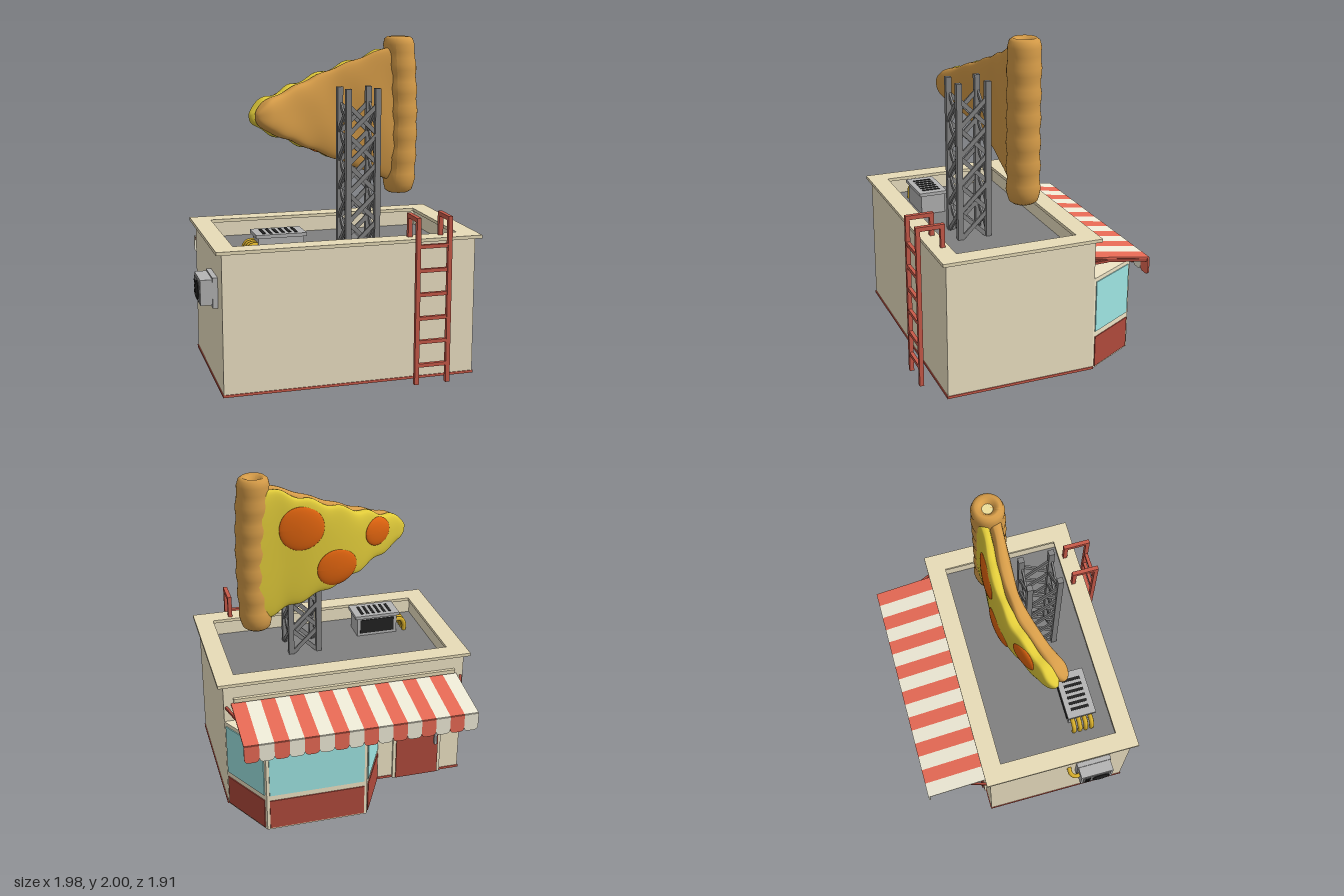
import * as THREE from 'three';
import { mergeVertices } from 'three/addons/utils/BufferGeometryUtils.js';
import { ParametricGeometry } from 'three/addons/geometries/ParametricGeometry.js';

const V = (x, y, z) => new THREE.Vector3(x, y, z);
const COL = {
  cream: 0xf0e5c6, rim: 0xe8dcb8, red: 0xc95a49, brick: 0xb04a3c, stripe: 0xe86a55, white: 0xf0ecd8,
  grey: 0x858585, metal: 0xb4b4b4, floor: 0x808080, black: 0x222222, glass: 0x9fe6e4,
  crust: 0xd69c48, crumb: 0xeedf9c, cheese: 0xe2cc3a, pepperoni: 0xe0640f, pipe: 0xd9b02c,
};
const mats = {};
const mat = (c) => (mats[c] ??= new THREE.MeshStandardMaterial({ color: COL[c] }));

function add(parent, name, geo, color, x = 0, y = 0, z = 0) {
  const m = new THREE.Mesh(geo, mat(color));
  m.name = name;
  m.position.set(x, y, z);
  parent.add(m);
  return m;
}
// box given by its minimum and maximum corners
function box(parent, name, color, [x0, y0, z0], [x1, y1, z1]) {
  return add(parent, name, new THREE.BoxGeometry(x1 - x0, y1 - y0, z1 - z0), color,
    (x0 + x1) / 2, (y0 + y1) / 2, (z0 + z1) / 2);
}
// square bar between two points
function bar(parent, name, color, a, b, t, t2 = t) {
  const m = new THREE.Mesh(new THREE.BoxGeometry(t, t2, a.distanceTo(b)), mat(color));
  m.name = name;
  m.position.copy(a).lerp(b, 0.5);
  m.lookAt(b);
  parent.add(m);
}
// polygon in plan (x, -z), extruded upwards
function prism(parent, name, color, pts, y0, y1, hole) {
  const shape = new THREE.Shape(pts.map((p) => new THREE.Vector2(...p)));
  if (hole) shape.holes.push(new THREE.Path(hole.map((p) => new THREE.Vector2(...p))));
  const geo = new THREE.ExtrudeGeometry(shape, { depth: y1 - y0, bevelEnabled: false });
  return add(parent, name, geo.rotateX(-Math.PI / 2), color, 0, y0, 0);
}
const rect = (a, b) => [[-a, -b], [a, -b], [a, b], [-a, b]];
function tube(parent, name, color, pts, r) {
  add(parent, name, new THREE.TubeGeometry(new THREE.CatmullRomCurve3(pts), 14, r, 8), color);
}

function buildShop(g) {
  box(g, 'walls', 'cream', [-0.76, 0, -0.46], [0.76, 0.74, 0.46]);
  prism(g, 'parapet', 'cream', rect(0.76, 0.46), 0.74, 0.84, rect(0.69, 0.385));
  prism(g, 'parapetCap', 'rim', rect(0.794, 0.487), 0.838, 0.858, rect(0.678, 0.37));
  box(g, 'roofFloor', 'floor', [-0.69, 0.735, -0.385], [0.69, 0.746, 0.385]);
  prism(g, 'baseTrim', 'red', rect(0.765, 0.465), 0, 0.015, rect(0.755, 0.455));

  // bay window
  const bay = [[0.76, 0.46], [0.58, 0.79], [-0.04, 0.79], [-0.21, 0.46]];
  prism(g, 'bayWindow', 'cream', bay, 0, 0.595);
  for (let i = 0; i < 3; i++) {
    const [ax, az] = bay[i], [bx, bz] = bay[i + 1];
    const len = Math.hypot(bx - ax, bz - az) - 0.035;
    for (const [name, color, y0, y1] of [['bayPanel', 'brick', 0.012, 0.208], ['bayGlass', 'glass', 0.245, 0.57]]) {
      const m = add(g, name, new THREE.BoxGeometry(len, y1 - y0, 0.012), color, (ax + bx) / 2, (y0 + y1) / 2, -(az + bz) / 2);
      m.rotation.y = Math.atan2(bz - az, bx - ax);
    }
  }

  // door
  box(g, 'doorFrame', 'cream', [-0.63, 0, -0.475], [-0.31, 0.585, -0.45]);
  box(g, 'door', 'brick', [-0.61, 0.005, -0.484], [-0.33, 0.565, -0.45]);
  box(g, 'doorGlass', 'glass', [-0.575, 0.33, -0.488], [-0.365, 0.53, -0.45]);
  box(g, 'doorHandle', 'metal', [-0.595, 0.23, -0.505], [-0.58, 0.31, -0.48]);
}

function buildAwning(g) {
  const n = 16, w = 1.43 / n, r = 0.03, h = 0.112;
  const flap = new THREE.Shape();
  flap.moveTo(-w / 2, 0).lineTo(-w / 2, r - h);
  flap.quadraticCurveTo(-w / 2, -h, r - w / 2, -h).lineTo(w / 2 - r, -h);
  flap.quadraticCurveTo(w / 2, -h, w / 2, r - h).lineTo(w / 2, 0);
  const flapGeo = new THREE.ExtrudeGeometry(flap, { depth: 0.01, bevelEnabled: false, curveSegments: 5 });
  const topGeo = new THREE.BoxGeometry(w, 0.01, 0.392);
  for (let i = 0; i < n; i++) {
    const x = -0.715 + (i + 0.5) * w, color = i % 2 ? 'stripe' : 'white';
    add(g, 'awningStripe', topGeo, color, x, 0.68, -0.652).rotation.x = -Math.atan(0.06 / 0.385);
    add(g, 'awningFlap', flapGeo, color, x, 0.65, -0.85);
  }
  for (const x of [-0.7, 0, 0.7]) {
    bar(g, 'awningBrace', 'brick', V(x, 0.69, -0.46), V(x, 0.634, -0.835), 0.018);
  }
  bar(g, 'awningFrontBar', 'brick', V(-0.7, 0.634, -0.835), V(0.7, 0.634, -0.835), 0.018);
  for (const s of [-1, 1]) bar(g, 'awningHinge', 'brick', V(s * 0.745, 0.69, -0.46), V(s * 0.705, 0.67, -0.57), 0.015);
  box(g, 'awningLedge', 'rim', [-0.7, 0.725, -0.48], [0.7, 0.75, -0.455]);
}

function buildLadder(g) {
  const x0 = 0.365, x1 = 0.558, z = 0.556, t = 0.026;
  for (const x of [x0, x1]) {
    bar(g, 'ladderRail', 'red', V(x, 0, z), V(x, 1, z), t);
    bar(g, 'ladderTop', 'red', V(x, 0.987, z), V(x, 0.987, 0.4), t);
    bar(g, 'ladderReturn', 'red', V(x, 1, 0.41), V(x, 0.85, 0.41), t);
  }
  for (let i = 0; i < 6; i++) {
    const y = 0.115 + i * 0.143;
    bar(g, 'ladderRung', 'red', V(x0, y, z), V(x1, y, z), 0.022);
  }
}

// lattice tower carrying the sign
function buildTower(g) {
  const tower = new THREE.Group();
  tower.name = 'signTower';
  tower.position.set(0.146, 0, 0.097);
  g.add(tower);
  const s = 0.09, y0 = 0.74, pitch = 0.175;
  for (let k = 0; k < 4; k++) {
    const side = new THREE.Group();
    side.name = 'towerSide';
    side.rotation.y = k * Math.PI / 2;
    tower.add(side);
    box(side, 'towerPost', 'grey', [s - 0.017, y0, s - 0.017], [s + 0.017, 1.71, s + 0.017]);
    for (let i = 0; i < 5; i++) {
      const a = y0 + i * pitch, b = a + pitch;
      bar(side, 'towerBrace', 'grey', V(-s, a, s + 0.005), V(s, b, s + 0.005), 0.012, 0.026);
      bar(side, 'towerBrace', 'grey', V(s, a, s - 0.006), V(-s, b, s - 0.006), 0.012, 0.026);
    }
  }
}

function buildUnits(g) {
  // rooftop cooling unit
  box(g, 'roofUnit', 'metal', [-0.51, 0.74, 0.12], [-0.24, 0.88, 0.275]);
  box(g, 'roofUnitTop', 'metal', [-0.525, 0.872, 0.108], [-0.225, 0.893, 0.288]);
  box(g, 'roofUnitGrille', 'black', [-0.49, 0.765, 0.115], [-0.26, 0.86, 0.13]);
  for (let i = 0; i < 6; i++) {
    const x = -0.47 + i * 0.038;
    box(g, 'roofUnitSlot', 'black', [x - 0.009, 0.88, 0.14], [x + 0.009, 0.896, 0.255]);
  }
  for (let i = 0; i < 4; i++) {
    const z = 0.14 + i * 0.038;
    tube(g, 'roofPipe', 'pipe', [V(-0.5, 0.83, z), V(-0.55, 0.825, z), V(-0.57, 0.79, z), V(-0.57, 0.74, z)], 0.015);
  }
  // wall unit
  box(g, 'wallUnitPlate', 'metal', [-0.79, 0.49, 0.105], [-0.75, 0.67, 0.325]);
  box(g, 'wallUnit', 'metal', [-0.86, 0.51, 0.11], [-0.78, 0.66, 0.32]);
  box(g, 'wallUnitGrille', 'grey', [-0.864, 0.525, 0.125], [-0.85, 0.645, 0.305]);
  const fan = add(g, 'wallUnitFan', new THREE.CylinderGeometry(0.055, 0.055, 0.012, 24), 'black', -0.863, 0.585, 0.24);
  fan.rotation.z = Math.PI / 2;
  for (let i = 0; i < 3; i++) box(g, 'wallUnitVent', 'black', [-0.868, 0.545 + i * 0.03, 0.135], [-0.86, 0.563 + i * 0.03, 0.17]);
  tube(g, 'wallPipe', 'pipe', [V(-0.82, 0.6, 0.12), V(-0.82, 0.6, 0.08), V(-0.8, 0.6, 0.06), V(-0.75, 0.6, 0.06)], 0.014);
}

function buildSlice(root) {
  const g = new THREE.Group();
  g.name = 'pizzaSign';
  root.add(g);
  // plan curve from the tip to the crust
  const path = new THREE.CatmullRomCurve3([V(-0.345, 0, 0.41), V(-0.23, 0, 0.25), V(-0.08, 0, 0.07),
    V(0.1, 0, -0.06), V(0.28, 0, -0.15), V(0.4, 0, -0.22)]);
  const place = (t, y, off, target) => {
    const p = path.getPointAt(t), d = path.getTangentAt(t);
    return target.set(p.x + d.z * off, 1.55 - 0.025 * t + y, p.z - d.x * off);
  };
  const tip = (t) => Math.sqrt(1 - (1 - Math.min(1, t / 0.09)) ** 2);
  const height = (t) => (0.06 + 0.38 * t) * tip(t);
  const pow = (v, e) => Math.sign(v) * Math.abs(v) ** e;

  // rounded slab following the curve
  const slab = (name, color, off, thick, grow, wave) => {
    let geo = new ParametricGeometry((u, v, target) => {
      const t = u ** 1.5, a = v * Math.PI * 2;
      const y = -pow(Math.sin(a), 0.75) * (height(t) + (grow + wave * Math.sin(t * 34 + Math.sin(a) * 2)) * tip(t));
      const bump = 0.004 * Math.sin(t * 17 + y * 9);
      place(t, y, off + pow(Math.cos(a), 0.55) * (thick + bump) * tip(t), target);
    }, 60, 48);
    geo.deleteAttribute('uv');
    geo.deleteAttribute('normal');
    geo = mergeVertices(geo, 1e-4);
    geo.computeVertexNormals();
    add(g, name, geo, color);
  };
  slab('sliceBase', 'crust', -0.03, 0.05, 0, 0.004);
  slab('cheese', 'cheese', 0.035, 0.042, -0.004, 0.011);

  // pepperoni bent onto the cheese
  for (const [t0, y0, r] of [[0.73, 0.15, 0.135], [0.52, -0.13, 0.12], [0.25, 0.04, 0.09]]) {
    const geo = new THREE.SphereGeometry(1, 32, 20).rotateX(Math.PI / 2);
    const pos = geo.attributes.position, p = V();
    for (let i = 0; i < pos.count; i++) {
      p.fromBufferAttribute(pos, i);
      const t = t0 - p.x * r / path.getLength(), y = y0 + p.y * r;
      const k = Math.min(0.97, Math.abs(y) / height(t));
      const off = 0.035 + 0.042 * (1 - k ** 2.67) ** 0.275;
      place(t, y, off + p.z * 0.018, p);
      pos.setXYZ(i, p.x, p.y, p.z);
    }
    geo.computeVertexNormals();
    add(g, 'pepperoni', geo, 'pepperoni');
  }

  // rolled crust with a hollow at each end
  const profile = [[0.032, 1.06], [0.045, 1.04], [0.065, 1.03], [0.085, 1.045], [0.095, 1.08]];
  for (let i = 1; i < 24; i++) profile.push([0.098 + 0.004 * Math.sin(i * 1.6), 1.08 + i * 0.0358]);
  profile.push([0.097, 1.95], [0.088, 1.985], [0.068, 2], [0.048, 1.99], [0.032, 1.965]);
  const bend = (geo) => {
    const pos = geo.attributes.position;
    for (let i = 0; i < pos.count; i++) {
      const k = 0.022 * Math.cos((pos.getY(i) - 1.45) * 3);
      pos.setX(i, pos.getX(i) + k);
    }
    geo.computeVertexNormals();
    return geo;
  };
  const roll = new THREE.LatheGeometry(profile.map((p) => new THREE.Vector2(...p)), 36);
  add(g, 'crustRoll', bend(roll), 'crust', 0.4, 0, -0.215);
  for (const y of [1.065, 1.96]) {
    add(g, 'crustHollow', bend(new THREE.CylinderGeometry(0.04, 0.04, 0.01, 20).translate(0, y, 0)), 'crumb', 0.4, 0, -0.215);
  }
}

export function createModel() {
  const root = new THREE.Group();
  root.name = 'pizzaShop';
  const shop = new THREE.Group();
  shop.name = 'shopBuilding';
  shop.rotation.y = Math.PI / 6;
  shop.position.set(0.052, 0, 0.128);
  root.add(shop);
  buildShop(shop);
  buildAwning(shop);
  buildLadder(shop);
  buildTower(shop);
  buildUnits(shop);
  buildSlice(root);
  return root;
}
